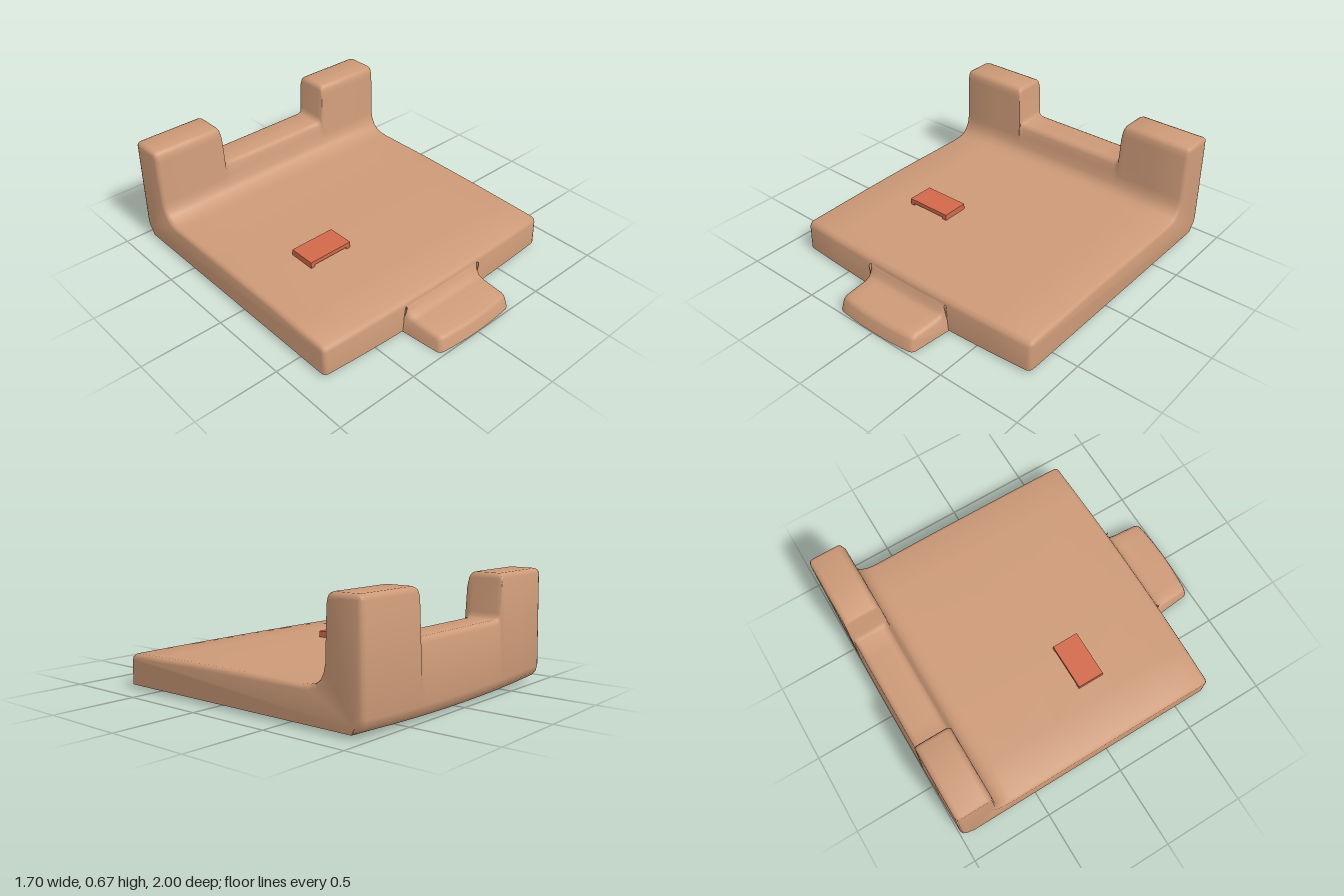
import * as THREE from 'three';
import { mergeVertices, toCreasedNormals } from 'three/addons/utils/BufferGeometryUtils.js';

const tan = new THREE.MeshStandardMaterial({ color: 0xcd9a78, side: THREE.DoubleSide });
tan.name = 'tan shell';
const orange = new THREE.MeshStandardMaterial({ color: 0xd2694a });
orange.name = 'orange clip';

// Shrinks an open profile of [z, y] points inward by d; the last point stays.
function inset(points, d) {
  return points.map(([z, y], i) => {
    if (d === 0 || i === points.length - 1) return [z, y];
    const a = points[Math.max(i - 1, 0)], b = points[i + 1];
    const dz = b[0] - a[0], dy = b[1] - a[1], l = Math.hypot(dz, dy);
    return [z - (dy / l) * d, i === 0 ? y : y + (dz / l) * d];
  });
}

// Open-bottomed shell: side profiles placed along x, with rounded, closed ends.
// half holds the columns on the +x side as [x, inset, height].
function shell(half, profile, widen = () => 1) {
  const columns = [...half.slice().reverse().map(([x, ...r]) => [-x, ...r]), ...half];
  const rows = columns.map(([x, d, h]) => inset(profile(x, h), d));
  const n = rows[0].length, positions = [], index = [];
  rows.forEach((row, i) => row.forEach(([z, y]) =>
    positions.push(columns[i][0] * widen(z, y), y, z)));
  for (let i = 0; i < rows.length - 1; i++) {
    for (let j = 0; j < n - 1; j++) {
      const a = i * n + j, b = a + n;
      index.push(a, b, a + 1, b, b + 1, a + 1);
    }
  }
  // End walls
  const last = rows.length - 1;
  const outline = rows[last].map(([z, y]) => new THREE.Vector2(-z, y)).reverse();
  for (const [a, b, c] of THREE.ShapeUtils.triangulateShape(outline, [])) {
    const [p, q, r] = [a, b, c].map((k) => n - 1 - k);
    index.push(last * n + p, last * n + q, last * n + r, p, r, q);
  }
  const geometry = new THREE.BufferGeometry();
  geometry.setAttribute('position', new THREE.Float32BufferAttribute(positions, 3));
  geometry.setIndex(index);
  return toCreasedNormals(mergeVertices(geometry), 0.85);
}

// Side profile of the tray, from the front rim over the bed and back wall
function trayProfile(x, h) {
  const bow = 1 - (x / 0.85) ** 2;
  const rim = 0.02 * (1 - bow), front = 0.708 + 0.018 * bow;
  const dome = 0.006 * bow, back = -0.988 - 0.012 * bow;
  return [
    [front, rim], [front - 0.005, 0.165], [front - 0.013, 0.188], [front - 0.036, 0.2],
    [0.45, 0.206 + dome], [0.2, 0.212 + dome], [-0.2, 0.217 + dome], [-0.6, 0.214 + dome],
    [-0.65, 0.217 + dome], [-0.69, 0.228 + dome], [-0.72, 0.252], [-0.74, 0.288], [-0.75, 0.335],
    [-0.757, h - 0.06], [-0.764, h - 0.028], [-0.774, h - 0.008], [-0.795, h],
    [-0.947, h], [-0.967, h - 0.008], [-0.976, h - 0.03],
    [back, 0.08 + rim], [back + 0.008, 0.045 + rim], [back + 0.035, 0.015 + rim], [-0.92, rim],
  ];
}

// Side profile of the front tongue, from its tip back to the tray
function tongueProfile(x) {
  const tip = 0.978 + 0.02 * (1 - (x / 0.28) ** 2);
  return [
    [tip, 0], [tip - 0.017, 0.065], [tip - 0.025, 0.08], [tip - 0.045, 0.09],
    [0.79, 0.096], [0.76, 0.102], [0.742, 0.118], [0.73, 0.145], [0.715, 0.17], [0.712, 0],
  ];
}

export function createModel() {
  const model = new THREE.Group();
  const add = (name, geometry, material, x = 0, y = 0, z = 0) => {
    const mesh = new THREE.Mesh(geometry, material);
    mesh.name = name;
    mesh.position.set(x, y, z);
    model.add(mesh);
    return mesh;
  };

  // Tray with a low middle back wall and a raised post at each rear corner
  const low = 0.418, high = 0.674;
  add('tray', shell([
    [0, 0, low], [0.12, 0, low], [0.24, 0, low], [0.355, 0, low], [0.376, 0, low + 0.008],
    [0.387, 0, low + 0.035], [0.395, 0, high - 0.03], [0.402, 0, high - 0.009], [0.42, 0, high],
    [0.6, 0, high], [0.825, 0, high], [0.842, 0.007, high], [0.849, 0.024, high],
  ], trayProfile), tan);

  // Tongue, wider toward its base and the tray
  add('frontTongue', shell([
    [0, 0], [0.1, 0], [0.2, 0], [0.25, 0], [0.267, 0.006], [0.275, 0.022],
  ], tongueProfile, (z, y) => 1.02 + 0.22 * (0.98 - z) - 0.5 * Math.min(y, 0.09)
    + (z < 0.77 ? (0.77 - z) * 0.6 : 0)), tan);

  // Bracket on the bed
  add('clipTop', new THREE.BoxGeometry(0.29, 0.025, 0.165), orange, -0.347, 0.243, 0.1);
  for (const [name, x] of [['clipRightLeg', -0.478], ['clipLeftLeg', -0.216]]) {
    add(name, new THREE.BoxGeometry(0.028, 0.036, 0.165), orange, x, 0.217, 0.1);
  }
  return model;
}
